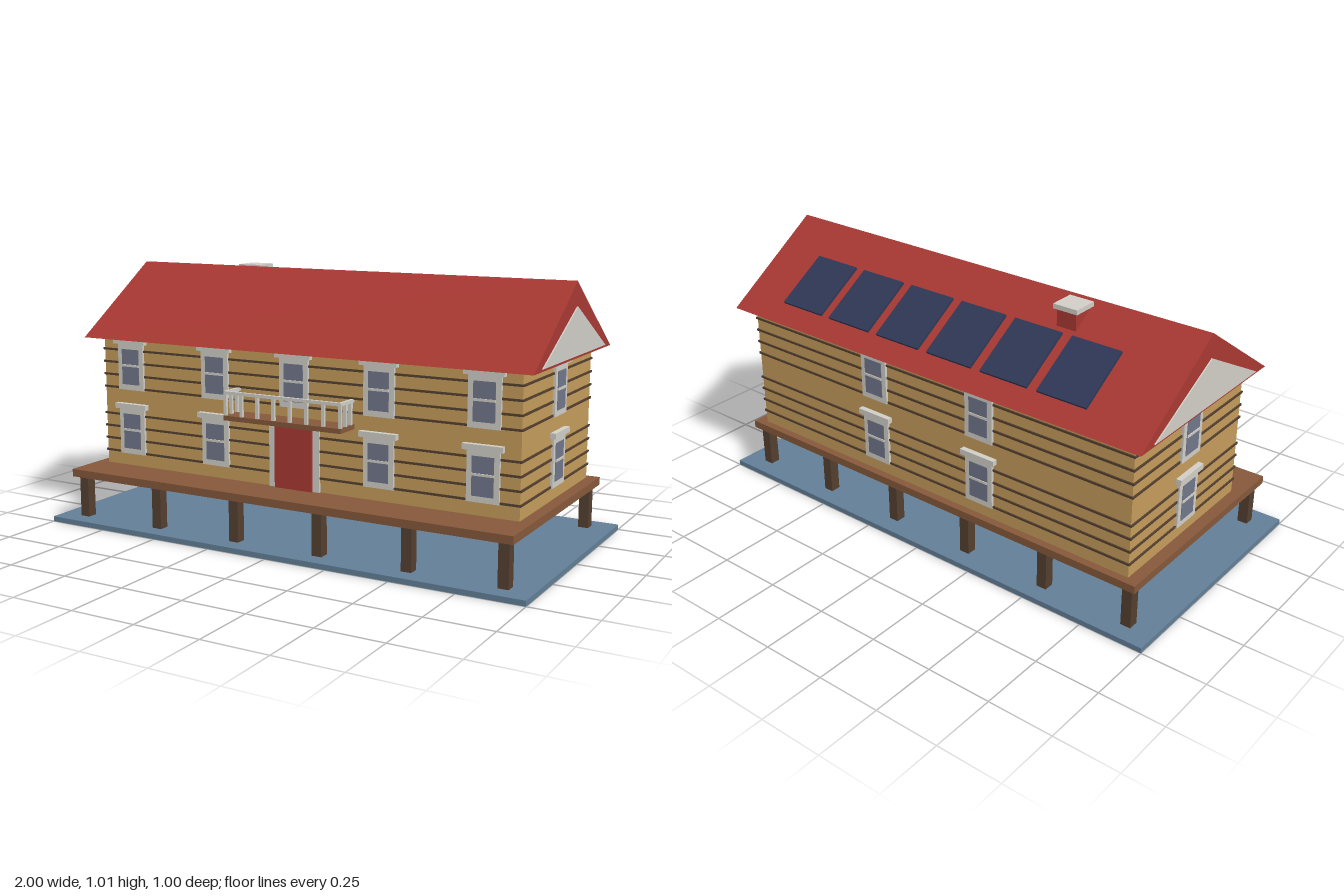
import * as THREE from 'three';

const mat = (name, color) => {
  const m = new THREE.MeshStandardMaterial({ color });
  m.name = name;
  return m;
};

export function createModel() {
  const water = mat('water blue', 0x617e96);
  const wood = mat('deck brown', 0x85583a);
  const dark = mat('dark timber', 0x54402f);
  const wall = mat('log tan', 0xc49b5a);
  const red = mat('roof red', 0xa83832);
  const cream = mat('trim cream', 0xd0cec6);
  const glass = mat('window grey', 0x71778a);
  const solar = mat('panel navy', 0x2e3756);

  const model = new THREE.Group();
  model.name = 'stiltHouse';

  // box given by its min and max on each axis
  const box = (name, material, [x0, x1], [y0, y1], [z0, z1], parent = model) => {
    const mesh = new THREE.Mesh(new THREE.BoxGeometry(x1 - x0, y1 - y0, z1 - z0), material);
    mesh.position.set((x0 + x1) / 2, (y0 + y1) / 2, (z0 + z1) / 2);
    mesh.name = name;
    parent.add(mesh);
    return mesh;
  };

  // triangular prism along x, centred on x = 0
  const midZ = -0.07;
  const prism = (name, material, halfX, halfZ, y0, y1) => {
    const s = new THREE.Shape();
    s.moveTo(-halfZ, y0);
    s.lineTo(halfZ, y0);
    s.lineTo(0, y1);
    s.closePath();
    const g = new THREE.ExtrudeGeometry(s, { depth: halfX * 2, bevelEnabled: false });
    g.translate(0, 0, -halfX).rotateY(Math.PI / 2).translate(0, 0, midZ);
    const mesh = new THREE.Mesh(g, material);
    mesh.name = name;
    model.add(mesh);
  };

  const W = 0.888, F = 0.283, B = -0.423;

  // base, stilts and deck
  box('waterBase', water, [-1, 1], [0, 0.02], [-0.5, 0.5]);
  for (let i = 0; i < 6; i++) {
    const x = -0.893 + i * 0.3572;
    for (const z of [-0.413, 0.413]) {
      box('stilt', dark, [x - 0.02, x + 0.02], [0.02, 0.184], [z - 0.02, z + 0.02]);
    }
  }
  box('deck', wood, [-0.933, 0.933], [0.183, 0.213], [-0.453, 0.453]);

  // log walls with dark seams
  box('walls', wall, [-W, W], [0.213, 0.728], [B, F]);
  for (const base of [0.267, 0.528]) {
    for (let i = 0; i < 4; i++) {
      const y = base + i * 0.0507;
      box('logSeam', dark, [-W - 0.005, W + 0.005], [y - 0.004, y + 0.004], [B - 0.005, F + 0.005]);
    }
  }

  // roof with pale gable plates
  prism('roof', red, 0.944, 0.41, 0.727, 1.003);
  prism('gablePlates', cream, 0.949, 0.335, 0.737, 0.913);

  // chimney
  box('chimney', red, [-0.485, -0.405], [0.85, 0.988], [-0.19, -0.11]);
  box('chimneyCap', cream, [-0.495, -0.395], [0.988, 1.006], [-0.2, -0.1]);

  // solar panels on the rear slope
  for (let i = 0; i < 6; i++) {
    const panel = new THREE.Mesh(new THREE.BoxGeometry(0.2, 0.01, 0.238), solar);
    panel.position.set(-0.605 + i * 0.242, 0.863, -0.337);
    panel.rotation.x = -Math.atan2(0.128, 0.2);
    panel.name = 'solarPanel';
    model.add(panel);
  }

  // sash window facing local +z, origin at its bottom centre on the wall
  const addWindow = (x, y, z, turn) => {
    const w = new THREE.Group();
    w.name = 'window';
    box('frame', cream, [-0.061, 0.061], [0, 0.19], [-0.004, 0.01], w);
    box('pane', glass, [-0.041, 0.041], [0.022, 0.163], [0.004, 0.012], w);
    box('sashBar', cream, [-0.041, 0.041], [0.094, 0.103], [0.004, 0.015], w);
    box('lintel', cream, [-0.075, 0.075], [0.184, 0.205], [-0.004, 0.021], w);
    w.position.set(x, y, z);
    w.rotation.y = turn;
    model.add(w);
  };
  for (const y of [0.262, 0.522]) {
    for (const x of [-0.754, -0.352, 0.352, 0.754]) addWindow(x, y, F, 0);
    for (const x of [-0.25, 0.25]) addWindow(x, y, B, Math.PI);
    addWindow(W, y, midZ, Math.PI / 2);
    addWindow(-W, y, midZ, -Math.PI / 2);
  }
  addWindow(0, 0.522, F, 0);

  // front door
  box('doorFrame', cream, [-0.108, 0.108], [0.213, 0.468], [F - 0.004, 0.291]);
  box('door', red, [-0.08, 0.08], [0.213, 0.458], [F, 0.299]);

  // balcony with railing on three sides
  box('balconyFloor', wood, [-0.25, 0.25], [0.467, 0.485], [F - 0.004, 0.384]);
  box('frontRail', cream, [-0.25, 0.25], [0.565, 0.577], [0.369, 0.381]);
  const baluster = (x, z) =>
    box('baluster', cream, [x - 0.006, x + 0.006], [0.485, 0.566], [z - 0.006, z + 0.006]);
  for (let i = 0; i < 8; i++) baluster(-0.244 + i * 0.0697, 0.375);
  for (const x of [-0.244, 0.244]) {
    box('sideRail', cream, [x - 0.006, x + 0.006], [0.565, 0.577], [F, 0.37]);
    for (const z of [0.338, 0.301]) baluster(x, z);
  }

  return model;
}
